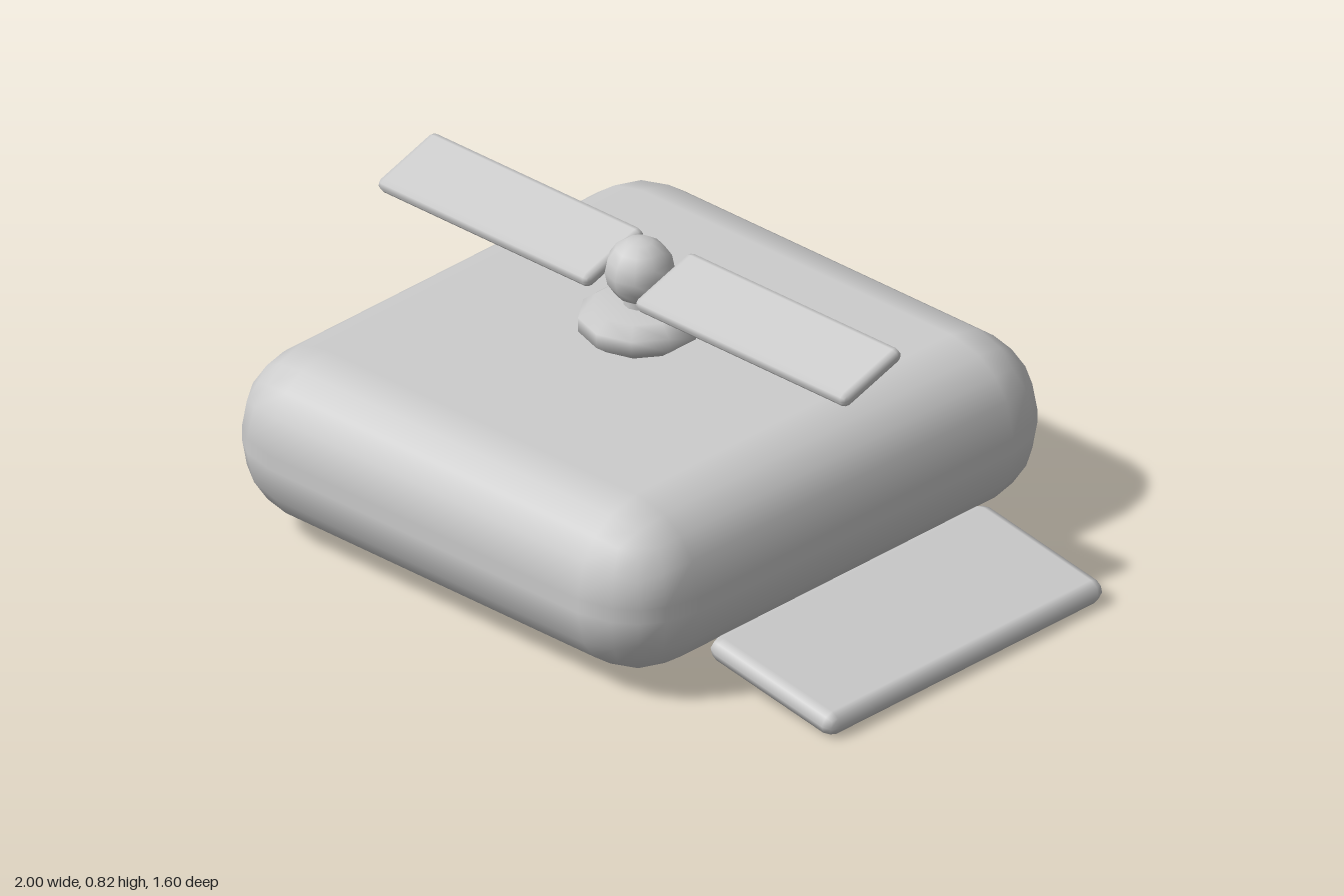
import * as THREE from 'three';
import { RoundedBoxGeometry } from 'three/addons/geometries/RoundedBoxGeometry.js';

const grey = new THREE.MeshStandardMaterial({ color: 0xcccccc });
grey.name = 'light grey';

export function createModel() {
  const model = new THREE.Group();
  const axisX = -0.168; // the rotor stands over the middle of the body

  const add = (name, geometry, x, y, z = 0) => {
    const mesh = new THREE.Mesh(geometry, grey);
    mesh.name = name;
    mesh.position.set(x, y, z);
    model.add(mesh);
    return mesh;
  };

  // Soft cushion-shaped body
  add('body', new RoundedBoxGeometry(1.535, 0.48, 1.6, 2, 0.22), axisX, 0.28);

  // Sloping flap at the left side
  const flap = add('sideFlap', new RoundedBoxGeometry(0.452, 0.068, 1.02, 1, 0.033), 0.777, 0.071);
  flap.rotation.z = -0.173;

  // Ten-sided bevelled disc under the rotor
  const profile = [[0, -0.048], [0.122, -0.048], [0.16, -0.02], [0.16, 0.02], [0.122, 0.048], [0, 0.048]]
    .map(([r, y]) => new THREE.Vector2(r, y));
  add('rotorBase', new THREE.LatheGeometry(profile, 10), axisX, 0.587);

  // Short neck and round hub
  add('rotorNeck', new THREE.CylinderGeometry(0.042, 0.042, 0.08, 10), axisX, 0.65);
  const hub = add('rotorHub', new THREE.SphereGeometry(0.091, 10, 8), axisX, 0.732);
  hub.rotation.y = Math.PI / 2;

  // Two blades, both pitched down towards the front
  for (const [side, name] of [[1, 'leftBlade'], [-1, 'rightBlade']]) {
    const blade = add(name, new RoundedBoxGeometry(0.75, 0.04, 0.225, 1, 0.018), axisX + side * 0.456, 0.731);
    blade.rotation.x = 0.3;
  }

  return model;
}
